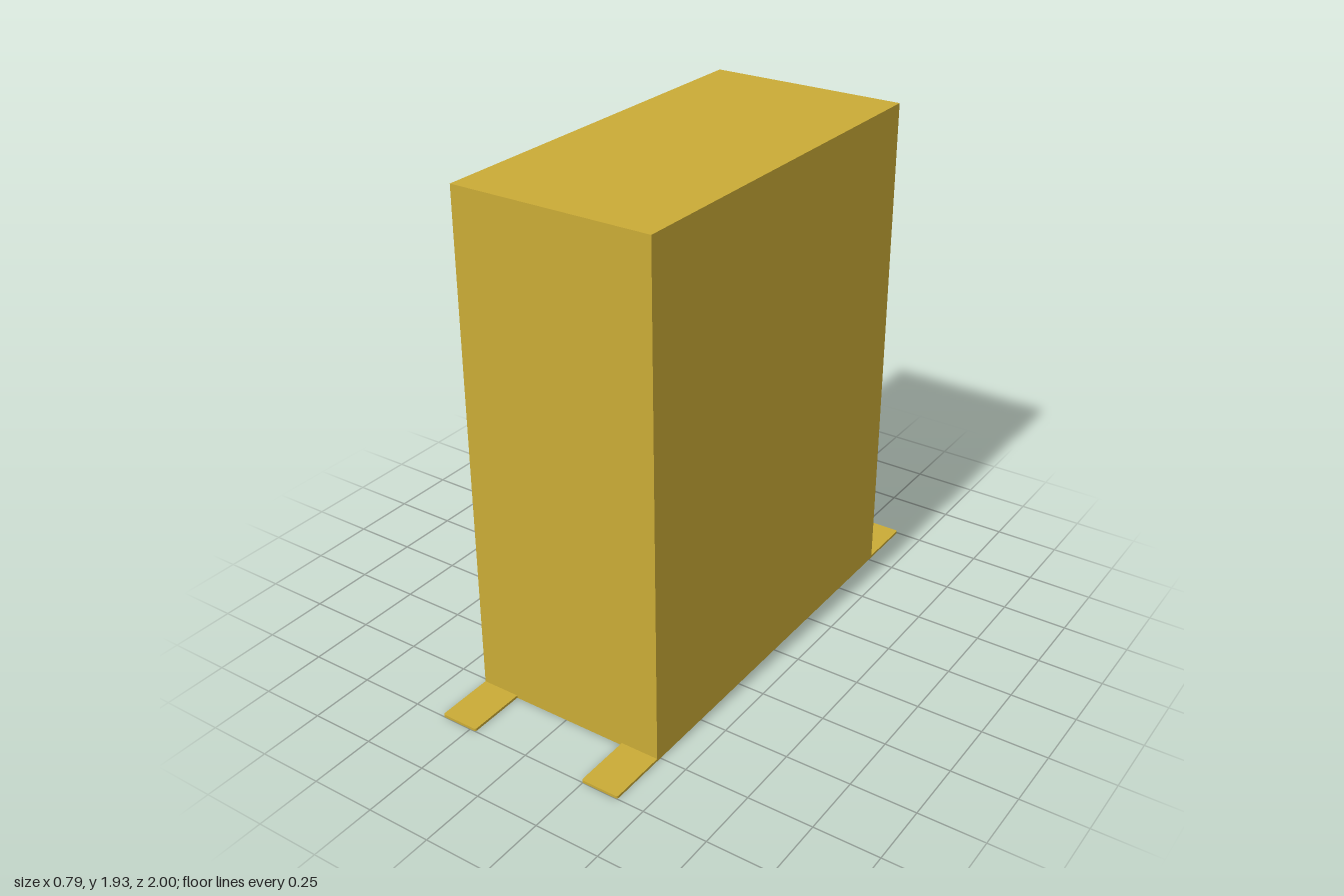
import * as THREE from 'three';

export function createModel() {
  const model = new THREE.Group();
  const yellow = new THREE.MeshStandardMaterial({ color: 0xcaab36 });
  yellow.name = 'yellow paint';
  const dark = new THREE.MeshStandardMaterial({ color: 0x35373a });
  dark.name = 'dark metal';

  const add = (name, geometry, material, x, y, z) => {
    const mesh = new THREE.Mesh(geometry, material);
    mesh.name = name;
    mesh.position.set(x, y, z);
    model.add(mesh);
    return mesh;
  };

  const back = -0.375, front = 0.395, top = 1.935, halfLength = 0.77;
  const midX = (back + front) / 2;

  // Cabinet body
  add('cabinetBody', new THREE.BoxGeometry(front - back, top, halfLength * 2), yellow, midX, top / 2, 0);

  // Floor skids with small rounded corners, reaching out past both ends
  const w = 0.075, l = 1, r = 0.008;
  const outline = new THREE.Shape();
  outline.absarc(w - r, l - r, r, 0, Math.PI / 2);
  outline.absarc(-w + r, l - r, r, Math.PI / 2, Math.PI);
  outline.absarc(-w + r, -l + r, r, Math.PI, Math.PI * 1.5);
  outline.absarc(w - r, -l + r, r, Math.PI * 1.5, Math.PI * 2);
  const skid = new THREE.ExtrudeGeometry(outline, { depth: 0.01, bevelEnabled: false, curveSegments: 4 });
  skid.rotateX(-Math.PI / 2);
  add('outerSkid', skid, yellow, front - w, 0, 0);
  add('doorSideSkid', skid, yellow, back + w, 0, 0);

  // Twin doors, separated by a narrow seam, with a row of hinge pins each
  const doorBottom = 0.09, doorTop = 1.855, doorEdge = 0.71, seam = 0.002;
  const door = new THREE.BoxGeometry(0.003, doorTop - doorBottom, doorEdge - seam);
  const pin = new THREE.CylinderGeometry(0.003, 0.003, 0.012, 8);
  for (const side of [-1, 1]) {
    add('door', door, yellow, back - 0.0015, (doorBottom + doorTop) / 2, side * (doorEdge + seam) / 2);
    for (let i = 0; i < 9; i++) {
      add('hingePin', pin, dark, back - 0.002, 0.225 + i * 0.193, side * 0.707);
    }
  }

  // Latch: a square base with a chamfered cap
  add('latchBase', new THREE.BoxGeometry(0.012, 0.074, 0.074), dark, back - 0.006, 0.982, 0.093);
  const cap = new THREE.CylinderGeometry(0.038, 0.052, 0.008, 4, 1).toNonIndexed();
  cap.rotateY(Math.PI / 4);
  cap.rotateZ(Math.PI / 2);
  cap.computeVertexNormals();
  add('latchCap', cap, dark, back - 0.016, 0.982, 0.093);

  return model;
}
